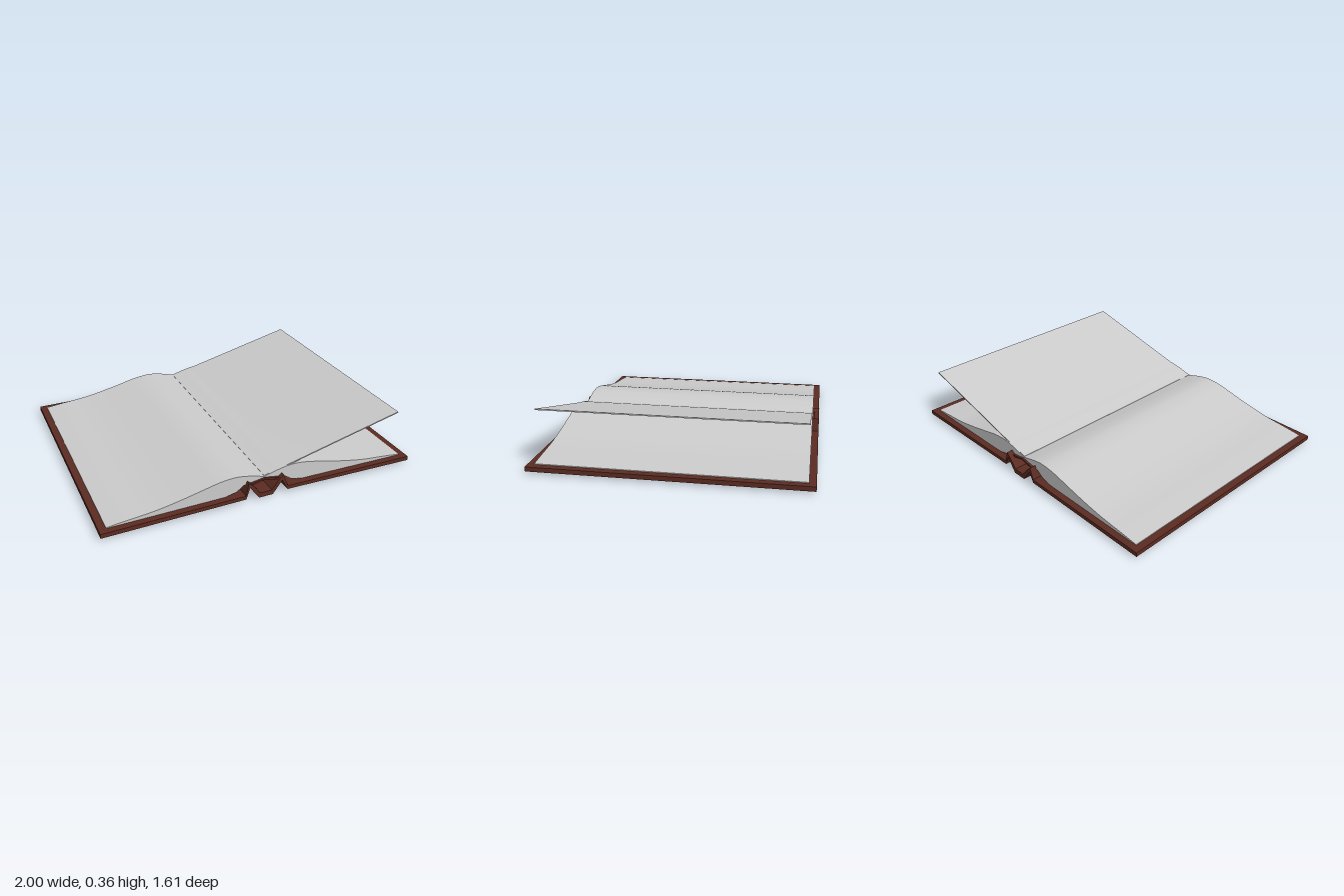
import * as THREE from 'three';
import { toCreasedNormals } from 'three/addons/utils/BufferGeometryUtils.js';

const leather = new THREE.MeshStandardMaterial({ color: 0x5c2c22 });
const paper = new THREE.MeshStandardMaterial({ color: 0xcccccc });

// Extrude an x-y outline along z, centred on z = 0
function slab(name, points, depth, material) {
  const shape = new THREE.Shape(points.map(([x, y]) => new THREE.Vector2(x, y)));
  const geometry = new THREE.ExtrudeGeometry(shape, { depth, bevelEnabled: false });
  geometry.translate(0, 0, -depth / 2);
  const mesh = new THREE.Mesh(toCreasedNormals(geometry, 0.45), material);
  mesh.name = name;
  return mesh;
}

// Complete a right-half line (running outwards from the spine) to both sides
const mirrored = (half) => [
  ...half.slice().reverse().map(([x, y]) => [-x, y]),
  ...half.filter(([x]) => x > 0),
];

// Closed outline between a lower and an upper right-half line
const outline = (lower, upper) => [...mirrored(lower), ...mirrored(upper).reverse()];

// Smooth a line through its points
function smooth(points, count) {
  const curve = new THREE.CatmullRomCurve3(points.map(([x, y]) => new THREE.Vector3(x, y, 0)));
  return curve.getPoints(count).map((p) => [p.x, p.y]);
}

export function createModel() {
  const book = new THREE.Group();
  book.name = 'openBook';

  // Boards, folded hinges and spine in one bent strip
  const cover = slab('cover', outline(
    [[0.045, 0.007], [0.105, 0.09], [0.135, 0.027], [1, 0.014]],
    [[0.038, 0.038], [0.085, 0.1], [0.113, 0.124], [0.137, 0.05], [1, 0.041]],
  ), 1.606, leather);
  const pos = cover.geometry.attributes.position;
  for (let i = 0; i < pos.count; i++) {
    // The spine and hinges stop a little short at the front
    if (pos.getZ(i) > 0 && Math.abs(pos.getX(i)) < 0.125) pos.setZ(i, 0.79);
  }
  book.add(cover);

  // Raised bands under the spine
  for (const z of [-0.48, -0.16, 0.16, 0.48]) {
    const band = slab('spineBand', [[-0.043, 0], [0.043, 0], [0.05, 0.02], [-0.05, 0.02]], 0.03, leather);
    band.position.z = z;
    book.add(band);
  }

  // Binding strip bridging the hinges below the pages
  book.add(slab('bindingStrip', outline(
    [[0, 0.112], [0.095, 0.09]],
    [[0, 0.122], [0.095, 0.104]],
  ), 1.55, leather));

  // Two swelling page stacks meeting at the gutter
  const pageTop = [[0, 0.127], ...smooth([
    [0.04, 0.138], [0.1, 0.154], [0.18, 0.166], [0.28, 0.158], [0.38, 0.136],
    [0.53, 0.102], [0.68, 0.075], [0.85, 0.058], [0.957, 0.046],
  ], 32)];
  const pageBottom = [
    [0, 0.119], [0.1, 0.106], [0.13, 0.1], [0.18, 0.064], [0.26, 0.047], [0.957, 0.04],
  ];
  book.add(slab('pages', outline(pageBottom, pageTop), 1.526, paper));

  // Single leaf lifted off the right stack
  book.add(slab('liftedLeaf', [
    [0, 0.122], [0.18, 0.165], [0.916, 0.349], [0.914, 0.356], [0.18, 0.172], [0, 0.129],
  ], 1.512, paper));

  return book;
}
